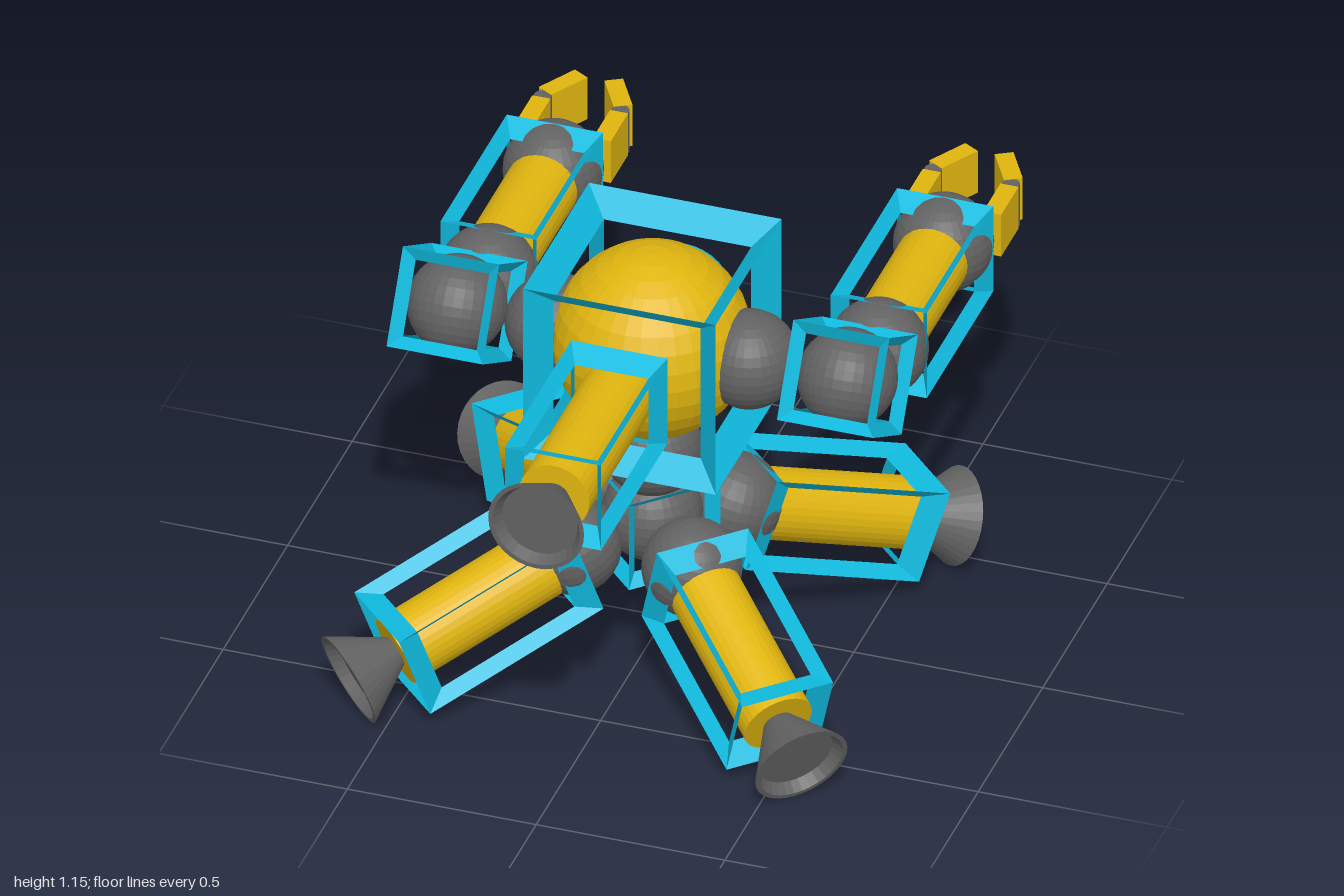
import * as THREE from 'three';

const yellow = new THREE.MeshStandardMaterial({ color: 0xe0b50f, flatShading: true });
yellow.name = 'yellow';
const cyan = new THREE.MeshStandardMaterial({ color: 0x0fbade, flatShading: true, side: THREE.DoubleSide });
cyan.name = 'cyan';
const gray = new THREE.MeshStandardMaterial({ color: 0x626262, flatShading: true });
gray.name = 'gray';

const S = 0.255; // basic module: joint cube side
const L = 0.515; // length of a limb cage

function add(parent, name, geometry, material, x = 0, y = 0, z = 0) {
  const mesh = new THREE.Mesh(geometry, material);
  mesh.name = name;
  mesh.position.set(x, y, z);
  parent.add(mesh);
  return mesh;
}

function group(parent, name, x, y, z) {
  const g = new THREE.Group();
  g.name = name;
  g.position.set(x, y, z);
  parent.add(g);
  return g;
}

// Open cage: twelve slanted plates joining each outer box edge to the inner box edge
function cageGeometry(w, h, d) {
  const half = [w / 2, h / 2, d / 2], inner = 0.765, pos = [];
  for (let axis = 0; axis < 3; axis++) {
    const u = (axis + 1) % 3, v = (axis + 2) % 3;
    for (const su of [-1, 1]) for (const sv of [-1, 1]) {
      const corner = (end, k) => {
        const p = [0, 0, 0];
        p[axis] = end * k * half[axis];
        p[u] = su * k * half[u];
        p[v] = sv * k * half[v];
        return p;
      };
      const a = corner(-1, 1), b = corner(1, 1), c = corner(1, inner), e = corner(-1, inner);
      pos.push(...a, ...b, ...c, ...a, ...c, ...e);
    }
  }
  const g = new THREE.BufferGeometry();
  g.setAttribute('position', new THREE.Float32BufferAttribute(pos, 3));
  g.computeVertexNormals();
  return g;
}

const ballGeo = new THREE.SphereGeometry(S / 2, 32, 16);
const cubeCage = cageGeometry(S, S, S);
const limbCage = cageGeometry(S, S, L);
const coreGeo = new THREE.CylinderGeometry(0.093, 0.093, L - 0.02, 32).rotateX(Math.PI / 2);

// Flared cup with a recessed end, opening toward +z
const cupGeo = new THREE.LatheGeometry([
  [0, -0.04], [0.022, -0.04], [0.127, 0.13], [0.115, 0.13], [0.1, 0.1], [0, 0.1],
].map(([r, y]) => new THREE.Vector2(r, y)), 32).rotateX(Math.PI / 2);

// Caged cylinder along z, centred on its own origin
function limb(parent, name, x, y, z) {
  const g = group(parent, name, x, y, z);
  add(g, 'limbCage', limbCage, cyan);
  add(g, 'limbCore', coreGeo, yellow);
  return g;
}

export function createModel() {
  const model = new THREE.Group();
  model.name = 'robot';

  // Head: ball in a cage, with a round plate at the back
  const head = group(model, 'head', 0, 0.905, 0.1);
  add(head, 'headCage', cageGeometry(0.51, 0.51, 0.51), cyan);
  add(head, 'headBall', new THREE.SphereGeometry(0.253, 32, 16), yellow);
  add(head, 'backPlate', new THREE.CylinderGeometry(0.125, 0.125, 0.06, 32).rotateX(Math.PI / 2),
    cyan, 0, 0, -0.227);

  // Front nozzle
  const snout = limb(head, 'snout', 0, 0, 0.5125);
  add(snout, 'snoutCup', cupGeo, gray, 0, 0, L / 2);

  // Neck and hip joint
  add(model, 'neck', ballGeo, gray, 0, 0.583, 0.1);
  const hip = group(model, 'hip', 0, 0.39, 0.1);
  hip.rotation.y = Math.PI / 4;
  add(hip, 'hipCage', cubeCage, cyan);
  add(hip, 'hipBall', ballGeo, gray);

  // Four legs spread diagonally and sloping down
  for (let i = 0; i < 4; i++) {
    const yaw = Math.PI / 4 + i * Math.PI / 2, r = 0.484;
    const leg = limb(model, 'leg', r * Math.sin(yaw), 0.26, 0.1 + r * Math.cos(yaw));
    leg.rotation.set(THREE.MathUtils.degToRad(20), yaw, 0, 'YXZ');
    add(leg, 'legJoint', ballGeo, gray, 0, 0, -0.275);
    add(leg, 'foot', cupGeo, gray, 0, 0, L / 2);
  }

  // Arms reaching backward
  for (const [side, label] of [[1, 'left'], [-1, 'right']]) {
    const arm = group(model, label + 'Arm', side * 0.517, 0, 0);
    add(arm, 'shoulder', ballGeo, gray, -side * 0.26, 0.9, 0.1);

    const elbow = group(arm, 'elbow', 0, 0.9, 0.1);
    elbow.rotation.x = -Math.PI / 6;
    add(elbow, 'elbowCage', cubeCage, cyan);
    add(elbow, 'elbowBall', ballGeo, gray);

    limb(arm, 'forearm', 0, 0.84, -0.4);
    add(arm, 'forearmJoint', ballGeo, gray, 0, 0.84, -0.14);
    add(arm, 'wrist', ballGeo, gray, 0, 0.84, -0.645);

    // Two hinged fingers bending toward each other
    for (const s of [-1, 1]) {
      add(arm, 'fingerBase', new THREE.BoxGeometry(0.048, 0.125, 0.135), yellow, s * 0.103, 0.84, -0.787);
      add(arm, 'fingerHinge', new THREE.CylinderGeometry(0.023, 0.023, 0.122, 16), gray, s * 0.103, 0.84, -0.865);
      const tip = add(arm, 'fingerTip', new THREE.BoxGeometry(0.048, 0.125, 0.12), yellow, s * 0.073, 0.84, -0.936);
      tip.rotation.y = s * Math.PI / 6;
    }
  }
  return model;
}
